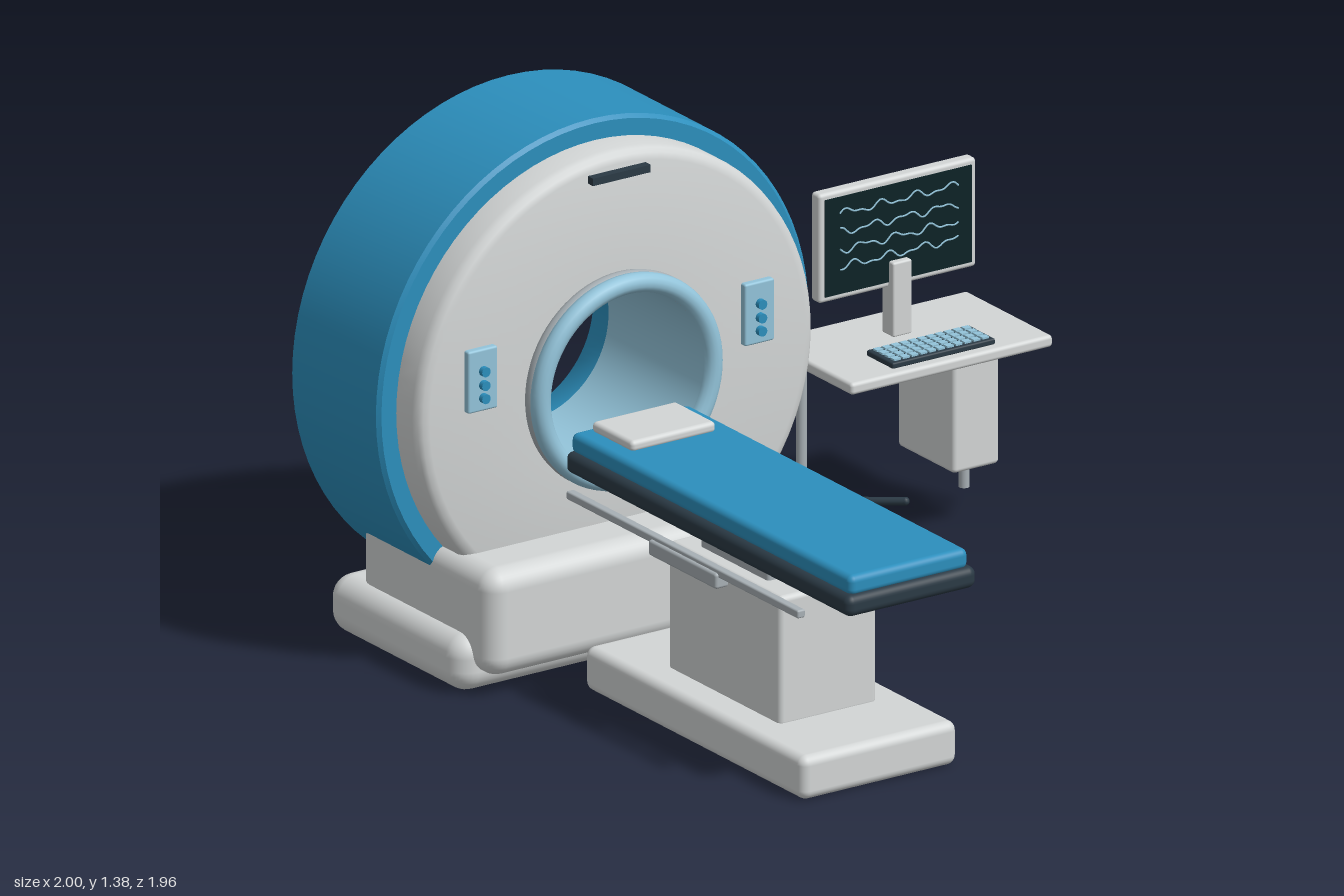
import * as THREE from 'three';
import { toCreasedNormals } from 'three/addons/utils/BufferGeometryUtils.js';
import { RoundedBoxGeometry } from 'three/addons/geometries/RoundedBoxGeometry.js';

const material = (name, color) => {
  const m = new THREE.MeshStandardMaterial({ color });
  m.name = name;
  return m;
};

export function createModel() {
  const blue = material('blue', 0x2c8fbd);
  const white = material('white', 0xd3d6d6);
  const paleBlue = material('paleBlue', 0x93c4da);
  const dark = material('dark', 0x2b3a45);
  const screenBlack = material('screenBlack', 0x0c2226);
  const grey = material('grey', 0xa8b0b5);

  const root = new THREE.Group();
  root.name = 'scannerRoom';
  const group = (name) => {
    const g = new THREE.Group();
    g.name = name;
    root.add(g);
    return g;
  };
  const add = (parent, name, geometry, mat, x = 0, y = 0, z = 0) => {
    const m = new THREE.Mesh(geometry, mat);
    m.name = name;
    m.position.set(x, y, z);
    parent.add(m);
    return m;
  };
  // box given by its limits, rounded when r > 0
  const box = (parent, name, mat, [x0, x1], [y0, y1], [z0, z1], r = 0) => {
    const s = [x1 - x0, y1 - y0, z1 - z0];
    const geo = r ? new RoundedBoxGeometry(...s, 4, r) : new THREE.BoxGeometry(...s);
    return add(parent, name, geo, mat, (x0 + x1) / 2, (y0 + y1) / 2, (z0 + z1) / 2);
  };

  // ---- gantry: profiles of [radius, z] turned around the bore axis
  const CX = -0.342, CY = 0.728;
  const gantry = group('gantry');
  const turned = (name, mat, profile) => {
    const geo = new THREE.LatheGeometry(profile.map(([r, z]) => new THREE.Vector2(r, z)), 80);
    geo.rotateX(Math.PI / 2);
    add(gantry, name, toCreasedNormals(geo, 0.6), mat, CX, CY, 0);
  };
  turned('gantryShell', blue, [
    [0.235, -0.71], [0.25, -0.8], [0.268, -0.82], [0.647, -0.82], [0.657, -0.81],
    [0.657, -0.44], [0.647, -0.43], [0.5, -0.43],
  ]);
  turned('frontCover', white, [
    [0.602, -0.44], [0.602, -0.36], [0.597, -0.343], [0.587, -0.333], [0.57, -0.328], [0.235, -0.328],
  ]);
  turned('boreTube', paleBlue, [[0.235, -0.29], [0.235, -0.71]]);
  add(gantry, 'boreRingSeat', new THREE.TorusGeometry(0.262, 0.025, 14, 72), grey, CX, CY, -0.312);
  add(gantry, 'boreRing', new THREE.TorusGeometry(0.261, 0.026, 14, 72), paleBlue, CX, CY, -0.288);
  box(gantry, 'topSlot', dark, [-0.432, -0.257], [1.265, 1.285], [-0.335, -0.305]);
  for (const side of [-1, 1]) {
    const x = CX + side * 0.42;
    box(gantry, 'controlPanel', paleBlue, [x - 0.045, x + 0.045], [0.732, 0.898], [-0.335, -0.31], 0.006);
    for (const y of [0.768, 0.803, 0.84]) {
      const button = add(gantry, 'panelButton', new THREE.CylinderGeometry(0.013, 0.013, 0.02, 16), blue, x, y, -0.306);
      button.rotation.x = Math.PI / 2;
    }
  }
  box(gantry, 'gantryHousing', white, [-0.835, 0.152], [0.06, 0.347], [-0.76, -0.175], 0.055);
  box(gantry, 'gantryBase', white, [-0.88, 0.195], [0.005, 0.16], [-0.845, -0.245], 0.06);

  // ---- patient table
  const table = group('patientTable');
  box(table, 'pedestalBase', white, [-0.582, -0.108], [0.005, 0.122], [-0.13, 0.84], 0.025);
  box(table, 'pedestalColumn', white, [-0.49, -0.194], [0.11, 0.46], [0.11, 0.605], 0.015);
  box(table, 'columnNeck', grey, [-0.447, -0.24], [0.45, 0.54], [0.19, 0.49], 0.01);
  box(table, 'tableTray', dark, [-0.54, -0.145], [0.53, 0.588], [-0.28, 0.98], 0.022);
  box(table, 'tablePad', blue, [-0.523, -0.162], [0.58, 0.635], [-0.275, 0.965], 0.018);
  box(table, 'pillow', white, [-0.472, -0.215], [0.63, 0.66], [-0.255, -0.075], 0.012);
  for (const side of [-1, 1]) {
    const x = CX + side * 0.243;
    box(table, 'sideRail', grey, [x - 0.012, x + 0.012], [0.5, 0.522], [-0.185, 0.84], 0.005);
    box(table, 'railBracket', grey, [x - 0.021, x + 0.021], [0.47, 0.512], [0.19, 0.49], 0.008);
  }

  // ---- operator desk
  const desk = group('desk');
  box(desk, 'deskTop', white, [0.387, 1.0], [0.51, 0.542], [-0.738, -0.355], 0.01);
  for (const x of [0.443, 0.937]) {
    add(desk, 'deskLeg', new THREE.CylinderGeometry(0.014, 0.014, 0.46, 16), grey, x, 0.285, -0.658);
  }
  box(desk, 'computerCase', white, [0.787, 0.928], [0.172, 0.468], [-0.735, -0.487], 0.012);
  for (let i = 0; i < 5; i++) {
    const z = -0.527 - i * 0.0225;
    box(desk, 'caseVent', dark, [0.926, 0.933], [0.268, 0.398], [z - 0.006, z + 0.006]);
  }

  // ---- keyboard
  box(desk, 'keyboard', dark, [0.533, 0.845], [0.54, 0.557], [-0.502, -0.385], 0.005);
  for (let row = 0; row < 4; row++) {
    for (let col = 0; col < 11; col++) {
      const x = 0.555 + col * 0.0268, z = -0.482 + row * 0.0258;
      box(desk, 'key', paleBlue, [x - 0.01, x + 0.01], [0.555, 0.562], [z - 0.009, z + 0.009]);
    }
  }

  // ---- monitor
  const monitor = group('monitor');
  box(monitor, 'monitorCase', white, [0.45, 0.928], [0.668, 0.96], [-0.628, -0.59], 0.01);
  box(monitor, 'screen', screenBlack, [0.466, 0.912], [0.684, 0.944], [-0.592, -0.587]);
  box(monitor, 'monitorStand', white, [0.66, 0.718], [0.54, 0.74], [-0.62, -0.568], 0.006);
  [0.9, 0.85, 0.803, 0.757].forEach((y, row) => {
    const points = [];
    for (let i = 0; i <= 32; i++) {
      const t = i / 32;
      const wave = 0.008 * Math.sin(t * 22 + row * 1.7) + 0.005 * Math.sin(t * 41 + row);
      points.push(new THREE.Vector3(0.51 + t * 0.36, y + wave, -0.586));
    }
    const curve = new THREE.CatmullRomCurve3(points);
    add(monitor, 'screenTrace', new THREE.TubeGeometry(curve, 64, 0.0025, 5), paleBlue);
  });

  // ---- floor cable
  const path = new THREE.CatmullRomCurve3([
    [-0.04, 0.045, -0.86], [0.155, 0.027, -0.945], [0.335, 0.02, -0.972],
    [0.485, 0.027, -0.94], [0.59, 0.036, -0.855], [0.69, 0.045, -0.735], [0.76, 0.053, -0.66],
  ].map((p) => new THREE.Vector3(...p)));
  const cable = add(root, 'floorCable', new THREE.TubeGeometry(path, 48, 0.011, 10), dark);
  for (const t of [0, 1]) {
    const p = path.getPoint(t);
    add(cable, 'cableEnd', new THREE.SphereGeometry(0.011, 10, 8), dark, p.x, p.y, p.z);
  }

  return root;
}
